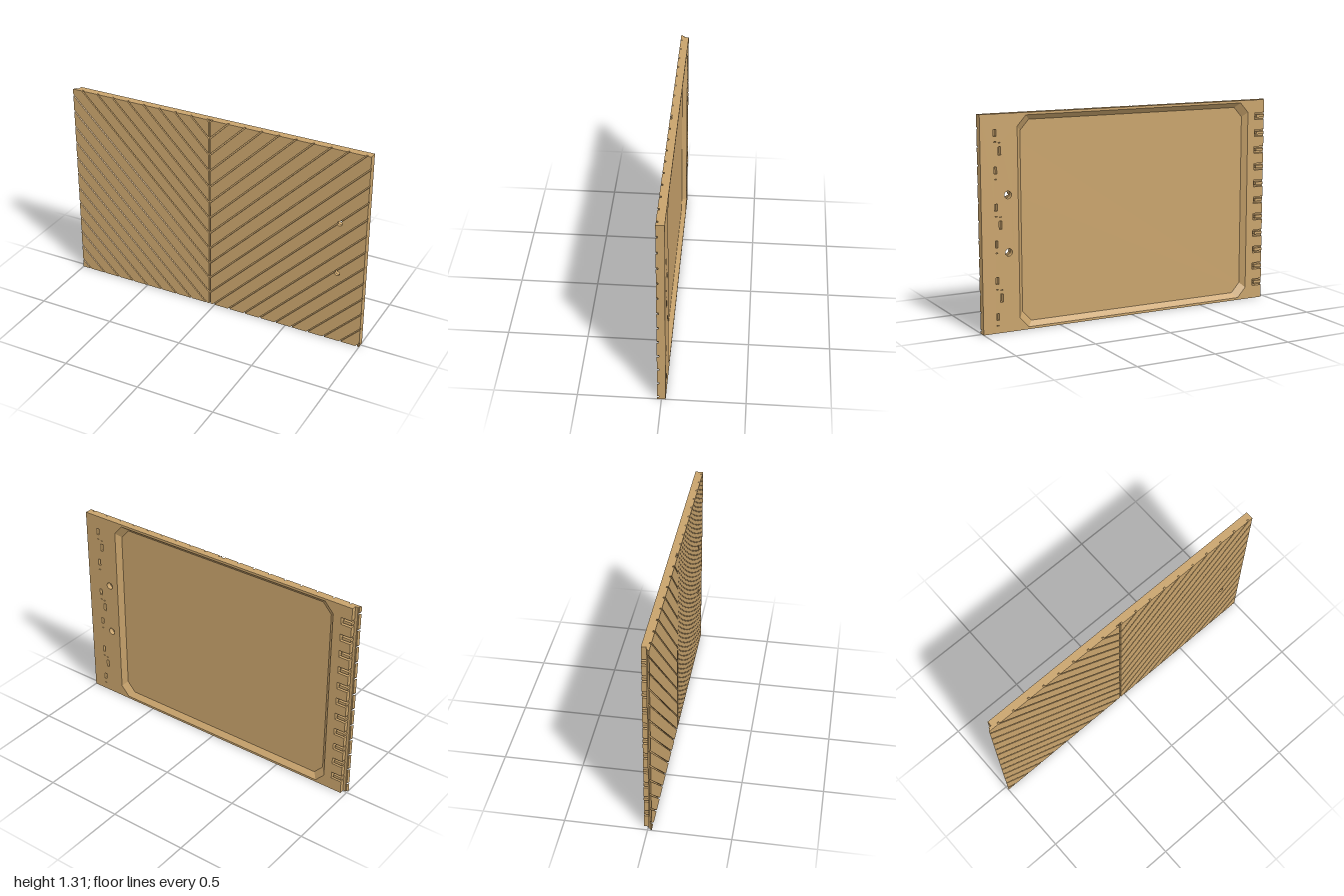
import * as THREE from 'three';

const H = 1.31, SEAM = -0.035;
const Z = { back: -0.025, floor: 0.005, groove: 0.013, front: 0.025 };
const BOLTS = [[0.83, 0.83], [0.83, 0.485]], BOLT_R = 0.016;

const wood = new THREE.MeshStandardMaterial({ color: 0xc8a36c });
wood.name = 'wood';

const toShape = pts => new THREE.Shape(pts.map(p => new THREE.Vector2(p[0], p[1])));
const rect = (x0, y0, x1, y1) => [[x0, y0], [x1, y0], [x1, y1], [x0, y1]];
const circle = ([x, y], r) => new THREE.Path().absarc(x, y, r, 0, Math.PI * 2, true);

function slab(shape, z0, z1) {
  const g = new THREE.ExtrudeGeometry(shape, { depth: z1 - z0, bevelEnabled: false, curveSegments: 12 });
  return g.translate(0, 0, z0);
}

function add(group, name, geometry) {
  const mesh = new THREE.Mesh(geometry, wood);
  mesh.name = name;
  group.add(mesh);
}

// keep the part of a polygon where a*x + b*y <= c
function clip(pts, a, b, c) {
  const out = [], d = p => a * p[0] + b * p[1] - c;
  pts.forEach((p, i) => {
    const q = pts[(i + 1) % pts.length], dp = d(p), dq = d(q);
    if (dp <= 0) out.push(p);
    if (dp * dq < 0) {
      const t = dp / (dp - dq);
      out.push([p[0] + (q[0] - p[0]) * t, p[1] + (q[1] - p[1]) * t]);
    }
  });
  return out;
}

// bite a round bolt hole out of any polygon edge that crosses it
function bite(pts, [cx, cy], r) {
  const out = [];
  pts.forEach((p, i) => {
    const q = pts[(i + 1) % pts.length];
    out.push(p);
    const dx = q[0] - p[0], dy = q[1] - p[1], len = Math.hypot(dx, dy);
    const along = ((cx - p[0]) * dx + (cy - p[1]) * dy) / len;
    const off = ((cx - p[0]) * dy - (cy - p[1]) * dx) / len;
    if (Math.abs(off) >= r) return;
    const half = Math.sqrt(r * r - off * off);
    if (along - half <= 0 || along + half >= len) return;
    const angle = s => Math.atan2(p[1] + dy * s / len - cy, p[0] + dx * s / len - cx);
    const a1 = angle(along - half);
    let a2 = angle(along + half);
    if (a2 > a1) a2 -= Math.PI * 2;
    for (let k = 0; k <= 10; k++) {
      const a = a1 + (a2 - a1) * k / 10;
      out.push([cx + r * Math.cos(a), cy + r * Math.sin(a)]);
    }
  });
  return out;
}

// octagonal outline of the rear recess, moved in by an inset
function recess(inset) {
  const x0 = -0.847 + inset, x1 = 0.765 - inset, y0 = 0.015 + inset, y1 = H - 0.015 - inset;
  const cx = 0.057, cy = 0.063;
  return [[x0 + cx, y0], [x1 - cx, y0], [x1, y0 + cy], [x1, y1 - cy],
    [x1 - cx, y1], [x0 + cx, y1], [x0, y1 - cy], [x0, y0 + cy]];
}

function recessWalls() {
  const o = recess(0), n = recess(0.03), pos = [];
  o.forEach((p, i) => {
    const j = (i + 1) % o.length;
    const A = [...p, Z.back], B = [...o[j], Z.back], C = [...n[i], Z.floor], D = [...n[j], Z.floor];
    pos.push(...A, ...C, ...B, ...B, ...C, ...D);
  });
  const g = new THREE.BufferGeometry();
  g.setAttribute('position', new THREE.Float32BufferAttribute(pos, 3));
  g.computeVertexNormals();
  return g;
}

export function createModel() {
  const group = new THREE.Group();
  group.name = 'chevronPanel';

  // rear frame: comb notches on one end, slots, bolt recesses and the big recess
  const notchYs = Array.from({ length: 11 }, (_, i) => 1.205 - i * 0.11);
  const outline = [[-0.97, 0], [1, 0], [1, H], [-0.97, H]];
  for (const y of notchYs) {
    outline.push([-0.97, y + 0.022], [-0.9, y + 0.022], [-0.9, y - 0.022], [-0.97, y - 0.022]);
  }
  const frame = toShape(outline);
  frame.holes.push(toShape(recess(0)));
  const slot = (x, y, w, h) => frame.holes.push(toShape(rect(x - w / 2, y - h / 2, x + w / 2, y + h / 2)));
  for (let i = 0; i < 6; i++) {
    slot(0.907, 0.1 + i * 0.22, 0.018, 0.042);
    slot(0.907, 0.047 + i * 0.22, 0.014, 0.004);
  }
  for (let i = 0; i < 3; i++) {
    slot(0.88, 0.213 + i * 0.44, 0.018, 0.05);
    slot(0.88, 0.262 + i * 0.44, 0.014, 0.004);
  }
  BOLTS.forEach(b => frame.holes.push(circle(b, 0.023)));
  add(group, 'rearFrame', slab(frame, Z.back, Z.floor));
  add(group, 'recessWalls', recessWalls());

  // tongue in the middle of each comb notch
  for (const y of notchYs) {
    add(group, 'notchTongue', slab(toShape(rect(-0.97, y - 0.009, -0.914, y + 0.009)), Z.back, Z.floor));
  }

  // core sheet: recess floor and groove bottoms
  const core = toShape(rect(-0.987, 0, 1, H));
  BOLTS.forEach(b => core.holes.push(circle(b, BOLT_R)));
  add(group, 'coreSheet', slab(core, Z.floor, Z.groove));

  // diagonal front planks, mirrored about the seam
  const gap = 0.0057;
  for (const side of [1, -1]) {
    const width = side > 0 ? 1 - SEAM : 1 + SEAM;
    for (let k = -12; k <= 11; k++) {
      const c = 0.195 + k * 0.11;
      let pts = rect(0.005, 0, width, H);
      pts = clip(pts, -1, 1, c + 0.11 - gap);
      pts = clip(pts, 1, -1, -c - gap);
      if (pts.length < 3) continue;
      pts = pts.map(([u, v]) => [SEAM + side * u, v]);
      if (side < 0) pts.reverse();
      BOLTS.forEach(b => { pts = bite(pts, b, BOLT_R); });
      const g = slab(toShape(pts), Z.groove, Z.front);
      // slanted lip at the notched end
      const p = g.attributes.position;
      for (let i = 0; i < p.count; i++) {
        if (p.getX(i) < -0.9999 && p.getZ(i) < 0.02) p.setX(i, -0.991);
      }
      g.computeVertexNormals();
      add(group, side > 0 ? 'leftPlank' : 'rightPlank', g);
    }
  }
  return group;
}
